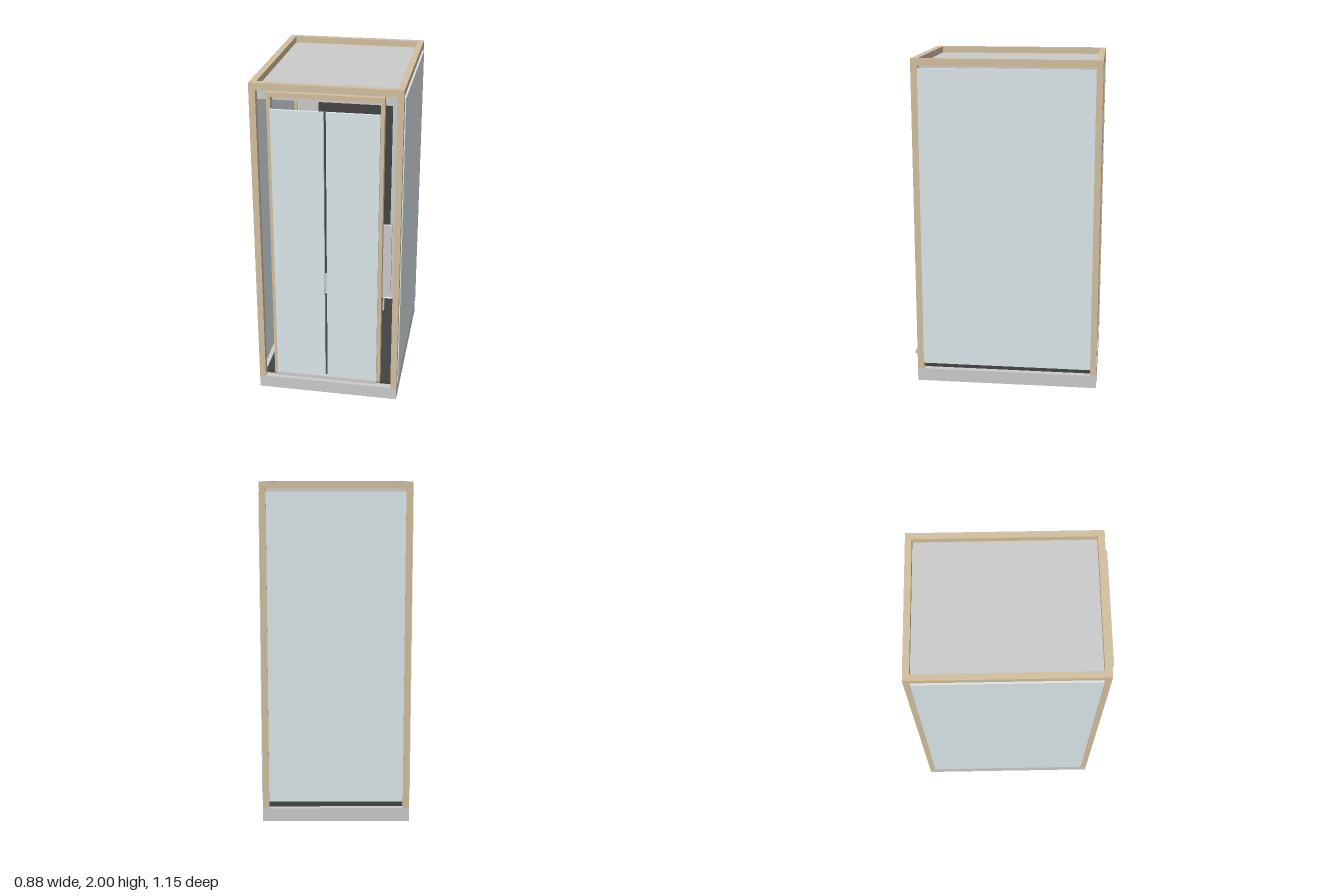
import * as THREE from 'three';

const material = (color) => new THREE.MeshStandardMaterial({ color });

export function createModel() {
  const model = new THREE.Group();
  const grey = material(0xcccccc);
  const tan = material(0xd2bf9f);
  const glass = material(0xdce7ea);
  const dark = material(0x444444);
  const lamp = material(0xf2ead0);

  // Box given by its minimum and maximum on each axis
  const box = (name, mat, [x0, x1], [y0, y1], [z0, z1]) => {
    const mesh = new THREE.Mesh(new THREE.BoxGeometry(x1 - x0, y1 - y0, z1 - z0), mat);
    mesh.position.set((x0 + x1) / 2, (y0 + y1) / 2, (z0 + z1) / 2);
    mesh.name = name;
    model.add(mesh);
    return mesh;
  };
  // The same box on both sides of x = 0
  const pair = (name, mat, [x0, x1], y, z) => {
    box(name + 'Left', mat, [x0, x1], y, z);
    box(name + 'Right', mat, [-x1, -x0], y, z);
  };

  // Plinth and floor
  box('base', grey, [-0.435, 0.435], [0, 0.08], [-0.575, 0.535]);
  box('floor', dark, [-0.4, 0.4], [0.08, 0.105], [-0.54, 0.495]);

  // Corner posts and top frame
  pair('frontPost', tan, [0.397, 0.435], [0.08, 1.96], [0.495, 0.535]);
  pair('backPost', tan, [0.397, 0.435], [0.08, 1.96], [-0.575, -0.537]);
  pair('topSideBeam', tan, [0.397, 0.435], [1.96, 2], [-0.575, 0.535]);
  box('topFrontBeam', tan, [-0.397, 0.397], [1.96, 2], [0.495, 0.535]);
  box('topBackBeam', tan, [-0.397, 0.397], [1.96, 2], [-0.575, -0.537]);

  // Ceiling with round lamps
  box('ceiling', grey, [-0.397, 0.397], [1.897, 1.961], [-0.537, 0.495]);
  for (const x of [-0.24, 0.24]) {
    for (const z of [-0.28, 0.24]) {
      const light = new THREE.Mesh(new THREE.CylinderGeometry(0.048, 0.048, 0.014, 24), lamp);
      light.position.set(x, 1.891, z);
      light.name = 'ceilingLamp';
      model.add(light);
    }
  }

  // Glass walls
  pair('sideGlass', glass, [0.42, 0.441], [0.12, 1.945], [-0.537, 0.495]);
  box('backGlass', glass, [-0.4, 0.4], [0.12, 1.945], [-0.57, -0.55]);

  // Inner back panel with mirror
  box('backPanel', grey, [-0.39, 0.39], [0.12, 1.86], [-0.548, -0.53]);
  box('mirror', dark, [-0.25, 0.25], [0.28, 1.7], [-0.53, -0.522]);

  // Door frame
  pair('doorJamb', tan, [0.31, 0.332], [0.12, 1.955], [0.5, 0.548]);
  box('doorHead', tan, [-0.31, 0.31], [1.928, 1.955], [0.5, 0.548]);

  // Two door leaves and sill
  pair('doorLeaf', glass, [0.007, 0.31], [0.125, 1.86], [0.545, 0.562]);
  box('doorSill', grey, [-0.313, 0.313], [0.125, 0.147], [0.548, 0.574]);

  // Control panel with buttons and a hanging handset
  box('controlPanel', grey, [0.295, 0.38], [0.735, 1.17], [0.475, 0.495]);
  for (const y of [0.875, 0.995, 1.11]) {
    box('controlButton', grey, [0.322, 0.346], [y - 0.016, y + 0.016], [0.495, 0.5]);
  }
  box('handsetCord', grey, [0.334, 0.343], [0.6, 0.735], [0.48, 0.489]);
  box('handset', dark, [0.33, 0.347], [0.578, 0.602], [0.476, 0.493]);

  return model;
}
